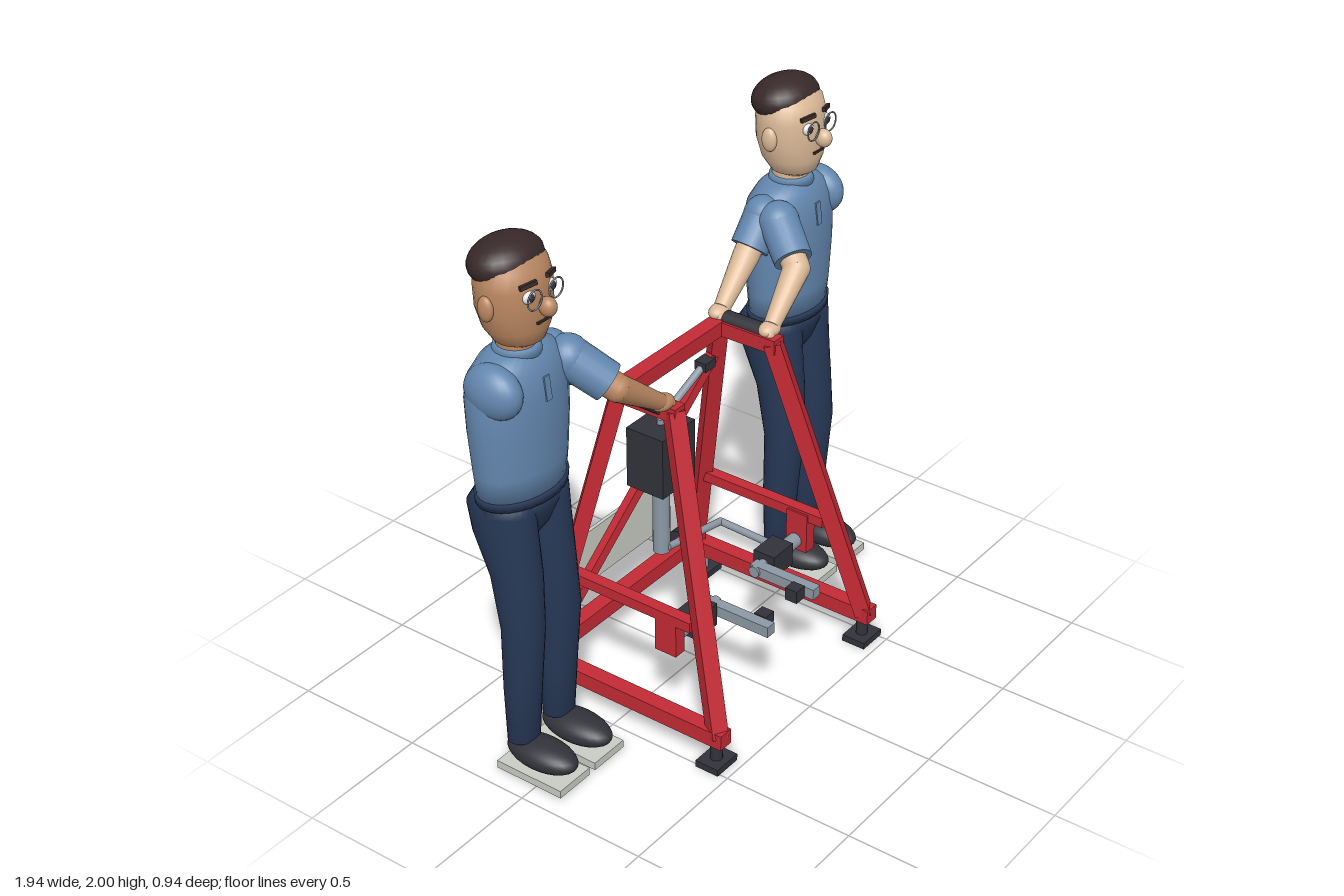
import * as THREE from 'three';

const mat = (name, color) => Object.assign(new THREE.MeshStandardMaterial({ color }), { name });
const V = (x, y, z) => new THREE.Vector3(x, y, z);

export function createModel() {
  const red = mat('frame red', 0xc42a35), shirt = mat('shirt blue', 0x6488b0), navy = mat('trouser navy', 0x263755);
  const fair = mat('fair skin', 0xdcba98), tan = mat('tan skin', 0xbb8862), hairM = mat('hair brown', 0x38292a);
  const dark = mat('dark rubber', 0x32333a), steel = mat('steel grey', 0x8c98a4);
  const pale = mat('pale plate', 0xc9cdc4), white = mat('eye white', 0xf2f2f2);

  const root = new THREE.Group();
  const add = (parent, name, geo, m, p = V(0, 0, 0)) => {
    const mesh = new THREE.Mesh(geo, m);
    mesh.name = name;
    mesh.position.copy(p);
    parent.add(mesh);
    return mesh;
  };
  const box = (g, name, m, x, y, z, w, h, d) => add(g, name, new THREE.BoxGeometry(w, h, d), m, V(x, y, z));
  const ball = (g, name, m, p, rx, ry, rz) => {
    const s = add(g, name, new THREE.SphereGeometry(1, 24, 16), m, p);
    s.scale.set(rx, ry, rz);
    return s;
  };
  // square tube between two points
  const bar = (g, name, m, a, b, w, h = w) => {
    const s = add(g, name, new THREE.BoxGeometry(w, h, a.distanceTo(b)), m, a.clone().lerp(b, 0.5));
    s.lookAt(b);
    return s;
  };
  // tapered round rod between two points
  const rod = (g, name, m, a, b, ra, rb = ra) => {
    const s = add(g, name, new THREE.CylinderGeometry(rb, ra, a.distanceTo(b), 20), m, a.clone().lerp(b, 0.5));
    s.quaternion.setFromUnitVectors(V(0, 1, 0), b.clone().sub(a).normalize());
    return s;
  };
  // closed body through elliptical sections [y, x, z, rx, rz], bottom to top
  const loft = (sections, n = 28) => {
    const first = sections[0], last = sections[sections.length - 1];
    const rows = [[first[0], first[1], first[2], 0.001, 0.001], ...sections, [last[0], last[1], last[2], 0.001, 0.001]];
    const pos = [], idx = [];
    rows.forEach(([y, x, z, rx, rz], i) => {
      for (let j = 0; j < n; j++) {
        const a = j / n * Math.PI * 2, k = (j + 1) % n;
        pos.push(x + rx * Math.cos(a), y, z + rz * Math.sin(a));
        if (i < rows.length - 1) {
          const p = i * n + j, q = i * n + k;
          idx.push(p, p + n, q, q, p + n, q + n);
        }
      }
    });
    const geo = new THREE.BufferGeometry();
    geo.setAttribute('position', new THREE.Float32BufferAttribute(pos, 3));
    geo.setIndex(idx);
    geo.computeVertexNormals();
    return geo;
  };

  // ---- frame ----
  const frame = new THREE.Group();
  frame.name = 'frame';
  root.add(frame);
  for (const s of [-1, 1]) {
    const fb = V(s * 0.455, 0.12, 0.425), ft = V(s * 0.285, 1.235, 0.115);
    const rb = V(s * 0.455, 0.12, -0.345), rt = V(s * 0.285, 1.235, -0.115);
    bar(frame, 'frontLeg', red, fb, ft, 0.06);
    bar(frame, 'rearLeg', red, rb, rt, 0.055);
    bar(frame, 'bottomSideRail', red, V(s * 0.455, 0.122, 0.46), V(s * 0.455, 0.122, -0.375), 0.06);
    bar(frame, 'middleSideRail', red, V(s * 0.4, 0.495, 0.28), V(s * 0.4, 0.495, -0.25), 0.045, 0.04);
    bar(frame, 'topSideRail', red, V(s * 0.285, 1.23, 0.14), V(s * 0.285, 1.23, -0.14), 0.055);
    rod(frame, 'grip', dark, V(s * 0.3, 1.25, 0.075), V(s * 0.3, 1.25, -0.095), 0.034);
    for (const z of [0.42, -0.31]) {
      box(frame, 'footPad', dark, s * 0.455, 0.015, z, 0.115, 0.026, 0.095);
      rod(frame, 'footStem', z > 0 ? dark : steel, V(s * 0.455, 0.02, z), V(s * 0.455, 0.1, z), 0.022);
    }
    rod(frame, 'wheel', dark, V(s * 0.43, 0.09, -0.405), V(s * 0.48, 0.09, -0.405), 0.064);
    rod(frame, 'wheelHub', steel, V(s * 0.425, 0.09, -0.405), V(s * 0.485, 0.09, -0.405), 0.022);
    // hand crank unit
    box(frame, 'crankHanger', red, s * 0.395, 0.425, 0.175, 0.05, 0.16, 0.09);
    rod(frame, 'outerAxle', steel, V(s * 0.375, 0.385, 0.17), V(s * 0.28, 0.385, 0.17), 0.028);
    box(frame, 'crankHousing', dark, s * 0.232, 0.385, 0.17, 0.118, 0.09, 0.09);
    rod(frame, 'innerAxle', steel, V(s * 0.18, 0.385, 0.17), V(s * 0.11, 0.385, 0.17), 0.022);
    box(frame, 'crankArm', steel, s * 0.14, 0.385, 0.285, 0.042, 0.042, 0.275);
    rod(frame, 'crankPin', steel, V(s * 0.14, 0.385, 0.36), V(s * 0.1, 0.385, 0.36), 0.015);
    box(frame, 'crankKnob', dark, s * 0.095, 0.385, 0.36, 0.05, 0.05, 0.05);
  }
  bar(frame, 'topCrossbar', red, V(-0.28, 1.23, -0.115), V(0.28, 1.23, -0.115), 0.058);
  bar(frame, 'bottomCrossbar', red, V(-0.46, 0.155, -0.335), V(0.46, 0.155, -0.335), 0.06);
  bar(frame, 'diagonalBrace', red, V(-0.4, 0.2, -0.33), V(0.28, 1.1, -0.14), 0.035);

  // ---- central column, arm and linkage ----
  box(frame, 'columnHousing', dark, 0, 0.825, -0.16, 0.188, 0.24, 0.16);
  rod(frame, 'column', steel, V(0, 0.41, -0.16), V(0, 0.71, -0.16), 0.032);
  rod(frame, 'housingPin', steel, V(0, 0.94, -0.16), V(0, 0.965, -0.16), 0.013);
  rod(frame, 'lever', steel, V(0.04, 0.99, -0.15), V(0.22, 1.08, -0.14), 0.014);
  box(frame, 'leverMount', dark, 0.235, 1.085, -0.14, 0.06, 0.035, 0.05);
  rod(frame, 'linkRod', steel, V(0, 0.435, -0.13), V(0.3, 0.39, -0.115), 0.014);
  rod(frame, 'linkRod', steel, V(0.3, 0.39, -0.115), V(0.29, 0.388, 0.14), 0.014);
  box(frame, 'rearPanel', pale, 0, 0.365, -0.388, 0.47, 0.22, 0.014);

  // ---- standing figures, one on each side ----
  const figure = (s, skin) => {
    const g = new THREE.Group();
    g.name = s > 0 ? 'leftFigure' : 'rightFigure';
    root.add(g);
    const cx = s * 0.76;

    // shoes, foot plates and legs
    for (const k of [-1, 1]) {
      const x = cx + k * 0.094;
      box(g, 'footPlate', pale, x, 0.027, -0.025, 0.158, 0.03, 0.28);
      ball(g, 'shoe', dark, V(x, 0.092, -0.025), 0.076, 0.052, 0.145);
      const dx = k * 0.085;
      add(g, 'trouserLeg', loft([
        [0.135, x, -0.105, 0.064, 0.052], [0.35, x, -0.1, 0.071, 0.064], [0.6, x, -0.088, 0.078, 0.074],
        [0.8, cx + dx, -0.115, 0.086, 0.092], [0.95, cx + dx, -0.155, 0.093, 0.12],
        [1.05, cx + dx, -0.168, 0.093, 0.128], [1.1, cx + dx, -0.155, 0.085, 0.11]]), navy);
    }
    add(g, 'hips', loft([
      [0.92, cx, -0.155, 0.04, 0.06], [0.97, cx, -0.16, 0.12, 0.1], [1.04, cx, -0.162, 0.175, 0.125],
      [1.1, cx, -0.15, 0.182, 0.122]]), navy);
    add(g, 'belt', loft([[1.085, cx, -0.15, 0.188, 0.126], [1.115, cx, -0.15, 0.19, 0.128]]), navy);

    // torso with collar and placket
    add(g, 'torso', loft([
      [1.1, cx, -0.15, 0.182, 0.118], [1.2, cx, -0.15, 0.193, 0.125], [1.35, cx, -0.152, 0.206, 0.132],
      [1.47, cx, -0.155, 0.208, 0.134], [1.54, cx, -0.155, 0.195, 0.124], [1.59, cx, -0.152, 0.155, 0.1],
      [1.615, cx, -0.15, 0.09, 0.075]]), shirt);
    add(g, 'collar', loft([[1.595, cx, -0.145, 0.095, 0.085], [1.63, cx, -0.15, 0.072, 0.076]]), shirt);
    box(g, 'placket', shirt, cx, 1.5, -0.026, 0.026, 0.085, 0.009).rotation.x = -0.12;
    ball(g, 'outerShoulder', shirt, V(cx + s * 0.14, 1.515, -0.13), 0.07, 0.095, 0.11);

    // both arms reach for the rail
    const arms = [
      [V(s * 0.59, 1.52, -0.08), V(s * 0.51, 1.41, 0.055), V(s * 0.32, 1.275, 0.085)],
      [V(s * 0.6, 1.52, -0.15), V(s * 0.5, 1.4, -0.155), V(s * 0.32, 1.275, -0.13)]];
    for (const [sh, el, ha] of arms) {
      const cuff = sh.clone().lerp(el, 0.82);
      ball(g, 'shoulder', shirt, sh, 0.075, 0.075, 0.075);
      rod(g, 'sleeve', shirt, sh, cuff, 0.073, 0.07);
      rod(g, 'upperArm', skin, sh, el, 0.05, 0.049);
      ball(g, 'elbow', skin, el, 0.049, 0.049, 0.049);
      rod(g, 'forearm', skin, el, ha, 0.049, 0.03);
      ball(g, 'hand', skin, V(ha.x - s * 0.012, 1.268, ha.z), 0.048, 0.028, 0.036);
      ball(g, 'thumb', skin, V(ha.x - s * 0.035, 1.255, ha.z + 0.02), 0.018, 0.024, 0.014);
    }

    // head
    rod(g, 'neck', skin, V(cx, 1.59, -0.15), V(cx, 1.69, -0.15), 0.066);
    add(g, 'head', loft([
      [1.64, cx, -0.13, 0.05, 0.05], [1.66, cx, -0.135, 0.088, 0.084], [1.71, cx, -0.143, 0.118, 0.108],
      [1.78, cx, -0.15, 0.135, 0.12], [1.86, cx, -0.152, 0.138, 0.121], [1.92, cx, -0.155, 0.125, 0.108],
      [1.97, cx, -0.16, 0.08, 0.07]]), skin);
    ball(g, 'hair', hairM, V(cx, 1.918, -0.178), 0.139, 0.08, 0.113).rotation.x = -0.15;
    ball(g, 'nose', skin, V(cx, 1.798, -0.012), 0.028, 0.034, 0.032);
    box(g, 'mouth', hairM, cx, 1.744, -0.031, 0.06, 0.008, 0.008);
    for (const k of [-1, 1]) {
      ball(g, 'ear', skin, V(cx + k * 0.138, 1.805, -0.148), 0.02, 0.045, 0.03);
      ball(g, 'eye', white, V(cx + k * 0.052, 1.843, -0.043), 0.027, 0.022, 0.014);
      ball(g, 'pupil', dark, V(cx + k * 0.052, 1.843, -0.031), 0.012, 0.013, 0.005);
      const brow = box(g, 'eyebrow', hairM, cx + k * 0.055, 1.886, -0.042, 0.062, 0.015, 0.012);
      brow.rotation.set(-0.1, k * 0.35, -k * 0.1);
      add(g, 'spectacleRim', new THREE.TorusGeometry(0.034, 0.003, 6, 28), steel, V(cx + k * 0.052, 1.84, -0.02));
    }
  };
  figure(1, fair);
  figure(-1, tan);
  return root;
}
